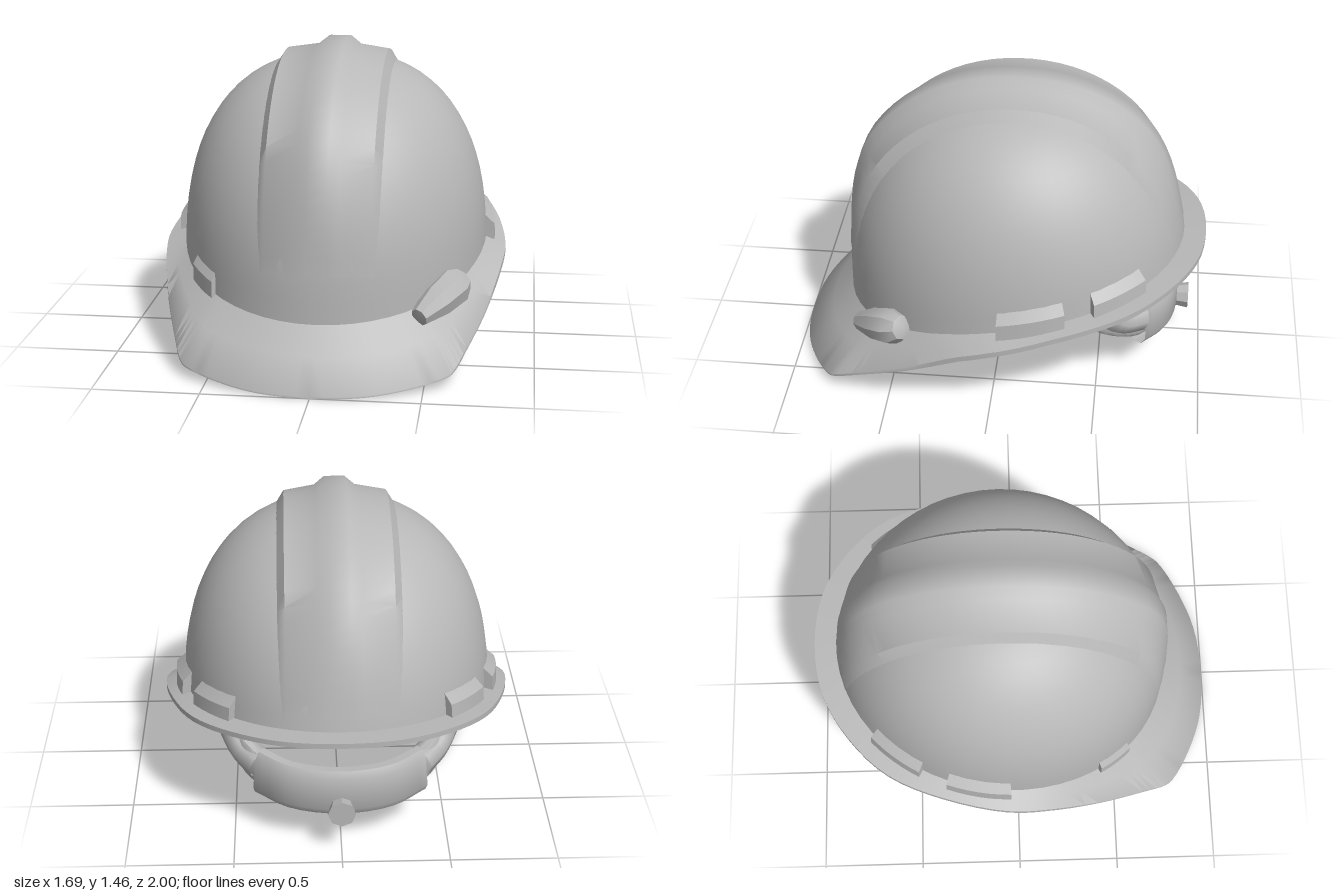
import * as THREE from 'three';
import { toCreasedNormals } from 'three/addons/utils/BufferGeometryUtils.js';

const grey = new THREE.MeshStandardMaterial({ color: 0xb8b8b8, side: THREE.DoubleSide });
grey.name = 'helmet grey';

// Dome dimensions: half width, half length, height, base level, centre z
const A = 0.75, C = 0.84, H = 0.985, Y0 = 0.4, ZC = -0.07;
const V = (x, y, z) => new THREE.Vector3(x, y, z);
// Dome squareness: fuller at the sides than at front and back
const squareness = cosHeading => 2.42 - 0.22 * cosHeading * cosHeading;

// Linear lookup in a short list of [position, value], positions falling
function lookup(table, p) {
  for (let i = 0; i < table.length - 1; i++) {
    const [p0, v0] = table[i], [p1, v1] = table[i + 1];
    if (p >= p1) return v0 + (v1 - v0) * THREE.MathUtils.clamp((p0 - p) / (p0 - p1), 0, 1);
  }
  return table[table.length - 1][1];
}
const rimY = [[1, 0.002], [0.8, 0.055], [0.4, 0.235], [0.15, 0.36], [0, 0.41], [-0.3, 0.485], [-0.6, 0.545], [-1, 0.615]];
const baseY = [[0.77, 0.27], [0.5, 0.34], [0.2, 0.43], [0, 0.48], [-0.4, 0.55], [-0.91, 0.635]];

// Point on the dome at a heading and a level, pushed outward
function dome(t, y, off = 0) {
  const h = THREE.MathUtils.clamp((y - Y0) / H, 0, 1), n = squareness(Math.cos(t));
  const r = Math.pow(1 - Math.pow(h, n), 1 / n);
  return V((A * r + off) * Math.sin(t), y, ZC + (C * r + off) * Math.cos(t));
}
const domeBase = t => lookup(baseY, ZC + C * Math.cos(t));

// Skin a list of equal-length rows of points
function loft(rows, closeRow = false, closeLoop = false, crease = 0.6) {
  const n = rows[0].length, m = rows.length, index = [];
  for (let i = 0; i < (closeLoop ? m : m - 1); i++) {
    for (let j = 0; j < (closeRow ? n : n - 1); j++) {
      const a = i * n + j, b = i * n + (j + 1) % n;
      const c = ((i + 1) % m) * n + j, d = ((i + 1) % m) * n + (j + 1) % n;
      index.push(a, b, d, a, d, c);
    }
  }
  const g = new THREE.BufferGeometry().setFromPoints(rows.flat());
  g.setIndex(index);
  return toCreasedNormals(g, crease);
}

// Upright rounded band along a curve
function band(curve, steps, height, thick, closed) {
  const rows = [];
  for (let i = 0; i < (closed ? steps : steps + 1); i++) {
    const p = curve.getPoint(i / steps), t = curve.getTangent(i / steps);
    const out = V(t.z, 0, -t.x).normalize(), up = V(0, 1, 0).addScaledVector(t, -t.y).normalize();
    const at = (u, o) => p.clone().addScaledVector(up, u * height / 2).addScaledVector(out, o * thick / 2);
    rows.push([at(-1, -0.5), at(-1, 0.5), at(-0.7, 1), at(0.7, 1), at(1, 0.5), at(1, -0.5), at(0.7, -1), at(-0.7, -1)]);
  }
  return loft(rows, true, closed, 1);
}

export function createModel() {
  const model = new THREE.Group();
  const add = (name, geometry) => {
    const mesh = new THREE.Mesh(geometry, grey);
    mesh.name = name;
    model.add(mesh);
    return mesh;
  };

  // Dome shell, from the sloping base up to the crown
  const shell = [];
  for (let i = 0; i <= 18; i++) {
    const row = [];
    for (let j = 0; j < 56; j++) {
      const t = j / 56 * Math.PI * 2, yb = domeBase(t);
      row.push(dome(t, yb + (Y0 + H - yb) * Math.sin(i / 18 * Math.PI / 2)));
    }
    shell.push(row);
  }
  add('domeShell', loft(shell, true, false, 1.2));

  // Stepped ridge running front to back, melting into the dome at its ends
  const steps = [[-0.29, -0.008], [-0.25, 0.042], [-0.1, 0.036], [-0.05, 0.073], [0.05, 0.073], [0.1, 0.036], [0.25, 0.042], [0.29, -0.008]];
  const ridge = [];
  for (let i = 0; i <= 36; i++) {
    const k = i / 36, a = 0.1 + k * (Math.PI - 0.4);
    const fade = THREE.MathUtils.smoothstep(k, 0, 0.24) * (1 - THREE.MathUtils.smoothstep(k, 0.76, 1));
    ridge.push(steps.map(([x, o]) => {
      let lo = 0, hi = 1.4;
      for (let q = 0; q < 30; q++) {
        const s = (lo + hi) / 2, z = s * Math.cos(a), r = Math.hypot(x / A, z), n = squareness(z / r);
        if (Math.pow(r, n) + Math.pow(s * Math.sin(a), n) < 1) lo = s; else hi = s;
      }
      const off = o < 0 ? o : 0.003 + (o - 0.003) * fade;
      return V(x, Y0 + (lo * H + off) * Math.sin(a), ZC + (lo * C + off) * Math.cos(a));
    }));
  }
  add('crownRidge', loft(ridge, false, false, 0.8));

  // Brim: long sloping peak in front, narrow gutter at sides and back
  const half = [[0.25, 0.975], [0.45, 0.9], [0.6, 0.81], [0.635, 0.77], [0.685, 0.64], [0.765, 0.4], [0.83, 0.13],
    [0.845, -0.06], [0.79, -0.37], [0.68, -0.64], [0.5, -0.83], [0.27, -0.96]];
  const outline = [[0, 1], ...half, [0, -1], ...half.slice().reverse().map(([x, z]) => [-x, z])];
  const edge = new THREE.CatmullRomCurve3(outline.map(([x, z]) => V(x, 0, z)), true, 'centripetal');
  const brim = [];
  for (let i = 0; i < 104; i++) {
    const p = edge.getPoint(i / 104), t = Math.atan2(p.x / A, (p.z - ZC) / C);
    const y = lookup(rimY, p.z), lip = lookup([[0.9, 0.008], [0.2, 0.028], [-1, 0.025]], p.z);
    const inner = dome(t, domeBase(t), -0.004), outer = V(p.x, y + lip, p.z);
    const mid = outer.clone().lerp(inner, 0.55);
    const tuck = (v, d, s) => V(v.x * s, v.y - d, (v.z - ZC) * s + ZC);
    brim.push([inner, mid, outer, V(p.x, y, p.z), tuck(outer, lip * 0.9, 0.975), tuck(mid, 0.02, 0.985), tuck(inner, 0.02, 0.98)]);
  }
  add('brim', loft(brim, false, true, 0.9));

  // Raised accessory slots rising from the sloping base of the dome
  function slot(name, t0, t1, off) {
    const rows = [];
    for (let i = 0; i <= 8; i++) {
      const t = t0 + (t1 - t0) * THREE.MathUtils.clamp((i - 1) / 6, 0, 1), y = domeBase(t);
      const o = i === 0 || i === 8 ? -0.01 : off;
      rows.push([dome(t, y - 0.015, o), dome(t, y + 0.065, o), dome(t, y + 0.11, -0.005)]);
    }
    add(name, loft(rows, false, false, 0.4));
  }
  for (const s of [1, -1]) {
    const side = s > 0 ? 'left' : 'right';
    slot(side + 'SideSlot', s * 1.535, s * 1.9, 0.042);
    slot(side + 'RearSlot', s * 2.07, s * 2.42, 0.038);
  }
  slot('rightFrontSlot', -0.74, -0.97, 0.022);

  // Faceted boss on the left front of the brim, tapered at both ends
  const profile = [[0, 0], [0.045, 0.01], [0.08, 0.14], [0.09, 0.27], [0.06, 0.33], [0, 0.35]];
  const boss = add('leftFrontBoss', toCreasedNormals(new THREE.LatheGeometry(profile.map(([r, y]) => new THREE.Vector2(r, y)), 8), 0.7));
  boss.position.set(0.46, 0.285, 0.67);
  boss.quaternion.setFromUnitVectors(V(0, 1, 0), V(0.19, 0.12, -0.25).normalize());

  // Closed loop from left-hand points plus front and back points
  function ringCurve(front, side, back) {
    const mirrored = side.slice().reverse().map(([x, y, z]) => [-x, y, z]);
    return new THREE.CatmullRomCurve3([front, ...side, back, ...mirrored].map(p => V(...p)), true, 'centripetal');
  }
  // Headband dipping to the nape at the back
  const headPath = [[0.36, 0.44, 0.52], [0.55, 0.46, 0.22], [0.59, 0.485, -0.1], [0.54, 0.49, -0.38], [0.46, 0.38, -0.6], [0.36, 0.33, -0.71]];
  add('headband', band(ringCurve([0, 0.43, 0.63], headPath, [0, 0.29, -0.81]), 64, 0.16, 0.055, true));
  // Suspension ring between headband and shell
  const suspensionPath = [[0.42, 0.42, 0.54], [0.62, 0.46, 0.24], [0.67, 0.52, -0.08], [0.6, 0.59, -0.45], [0.36, 0.64, -0.7]];
  add('suspensionRing', band(ringCurve([0, 0.4, 0.7], suspensionPath, [0, 0.66, -0.8]), 56, 0.09, 0.025, true));

  // Nape pad and its adjuster
  const nape = new THREE.CatmullRomCurve3([V(0.38, 0.32, -0.7), V(0.23, 0.3, -0.8), V(0, 0.29, -0.84), V(-0.23, 0.3, -0.8), V(-0.38, 0.32, -0.7)]);
  add('napePad', band(nape, 16, 0.23, 0.08, false));
  const knob = add('napeAdjuster', toCreasedNormals(new THREE.CylinderGeometry(0.05, 0.065, 0.09, 8), 0.5));
  knob.position.set(0, 0.22, -0.89);
  knob.rotation.x = Math.PI / 2;

  for (const s of [1, -1]) {
    const side = s > 0 ? 'left' : 'right';
    // Thick arm from the shell down to the nape pad
    const arm = new THREE.CatmullRomCurve3([V(s * 0.55, 0.61, -0.53), V(s * 0.5, 0.46, -0.54), V(s * 0.45, 0.38, -0.6), V(s * 0.37, 0.35, -0.7)]);
    add(side + 'Arm', new THREE.TubeGeometry(arm, 10, 0.07, 8));
    // Small clip hanging below the headband
    const clip = add(side + 'Clip', toCreasedNormals(new THREE.CylinderGeometry(0.075, 0.03, 0.1, 6), 0.5));
    clip.position.set(s * 0.6, 0.36, -0.11);
    clip.scale.x = 0.4;
  }

  // Crossed webbing straps under the crown
  for (const [i, t] of [0.6, Math.PI / 2, Math.PI - 0.6].entries()) {
    const rows = [], across = V(Math.cos(t), 0, -Math.sin(t)).multiplyScalar(0.07);
    for (let k = 0; k <= 24; k++) {
      const a = k / 24 * Math.PI, r = 0.64 * Math.cos(a), z = ZC + r * 1.08 * Math.cos(t), foot = 0.48 - 0.2 * z;
      const c = V(r * Math.sin(t), foot + (1.26 - foot) * Math.pow(Math.sin(a), 0.85), z);
      rows.push([c.clone().add(across), c.clone().sub(across)]);
    }
    add('webbingStrap' + (i + 1), loft(rows, false, false, 1));
  }
  return model;
}
